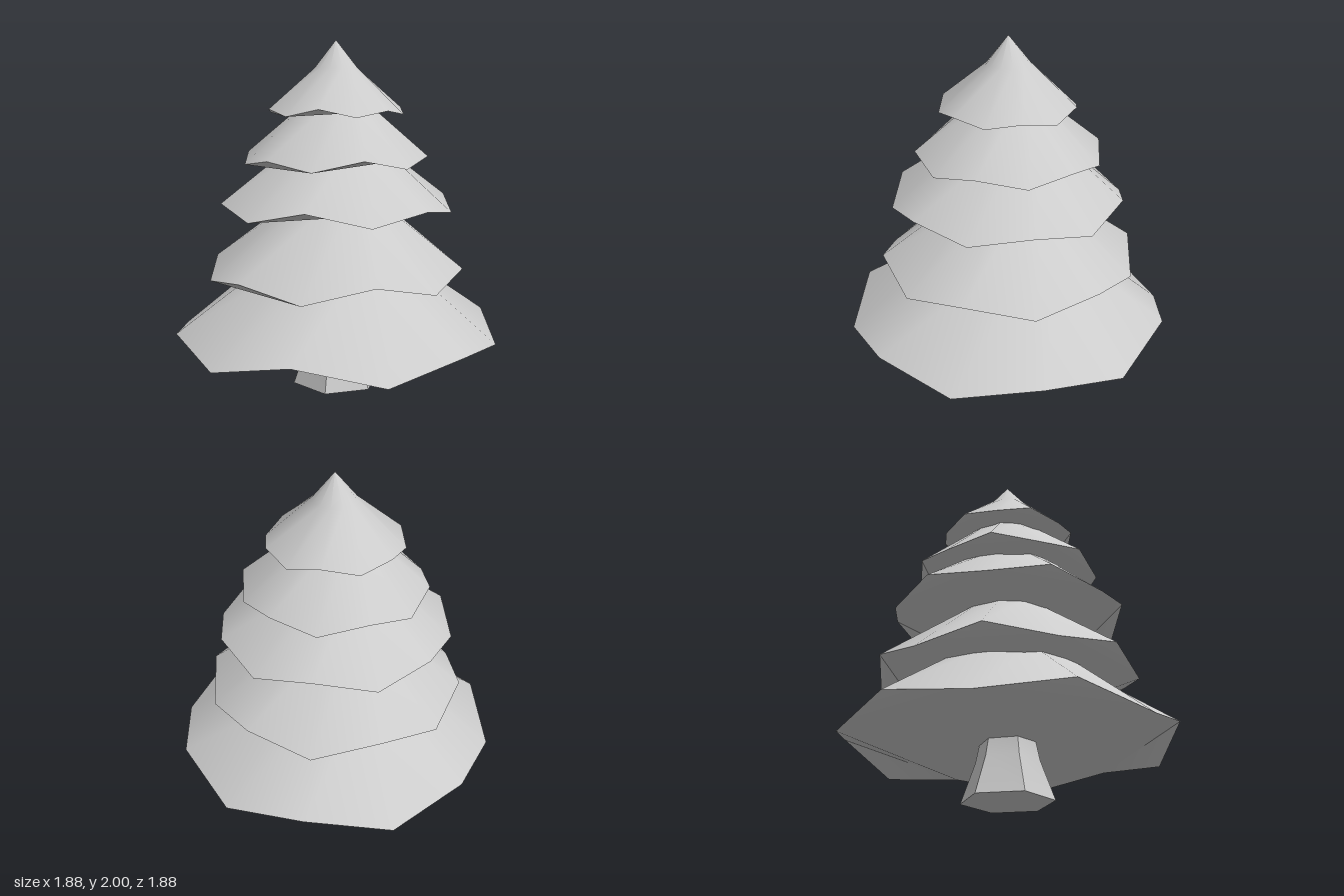
import * as THREE from 'three';
import { toCreasedNormals } from 'three/addons/utils/BufferGeometryUtils.js';

const SIDES = 12;
const CREASE = 0.75;

// Triangles closing the zigzag underside of a tier
const UNDERSIDE = [
  1, 2, 3, 1, 3, 4, 4, 5, 6, 6, 7, 8, 8, 9, 11,
  9, 10, 11, 11, 0, 1, 1, 4, 6, 1, 6, 8, 1, 8, 11,
];

// Tier: zigzag rim, upper ring and apex
function tierGeometry({ radius, low, high, peak, ringRadius, ringY, apexY }) {
  const positions = [];
  const index = [...UNDERSIDE];
  const addRing = (r, heightAt) => {
    for (let k = 0; k < SIDES; k++) {
      const a = (k / SIDES) * Math.PI * 2;
      positions.push(Math.cos(a) * r, heightAt(k), Math.sin(a) * r);
    }
  };
  // even corners droop, odd corners lift, the front and back ones the most
  addRing(radius, (k) => (k % 2 === 0 ? low : k % 6 === 3 ? peak : high));
  addRing(ringRadius, () => ringY);
  positions.push(0, apexY, 0);

  const apex = SIDES * 2;
  for (let k = 0; k < SIDES; k++) {
    const n = (k + 1) % SIDES;
    index.push(k, SIDES + k, n, n, SIDES + k, SIDES + n);
    index.push(SIDES + k, apex, SIDES + n);
  }
  const geometry = new THREE.BufferGeometry();
  geometry.setAttribute('position', new THREE.Float32BufferAttribute(positions, 3));
  geometry.setIndex(index);
  return toCreasedNormals(geometry, CREASE);
}

export function createModel() {
  const model = new THREE.Group();
  model.name = 'pineTree';
  const material = new THREE.MeshStandardMaterial({ color: 0xcccccc });

  // Flared six-sided trunk
  const profile = [[0, 0], [0.26, 0], [0.18, 0.22], [0.155, 0.34], [0.15, 0.45]]
    .map(([x, y]) => new THREE.Vector2(x, y));
  const trunk = new THREE.Mesh(
    toCreasedNormals(new THREE.LatheGeometry(profile, 6), CREASE), material);
  trunk.name = 'trunk';
  model.add(trunk);

  // Foliage tiers from bottom to top, every second one turned by one corner
  const tiers = [
    { radius: 0.94, low: 0.29, high: 0.365, peak: 0.4, ringRadius: 0.4, ringY: 0.745, apexY: 0.95 },
    { radius: 0.74, low: 0.66, high: 0.725, peak: 0.75, ringRadius: 0.27, ringY: 1.08, apexY: 1.25 },
    { radius: 0.67, low: 1.045, high: 1.1, peak: 1.125, ringRadius: 0.26, ringY: 1.41, apexY: 1.55 },
    { radius: 0.53, low: 1.315, high: 1.36, peak: 1.375, ringRadius: 0.19, ringY: 1.645, apexY: 1.77 },
    { radius: 0.39, low: 1.59, high: 1.62, peak: 1.635, ringRadius: 0.125, ringY: 1.845, apexY: 2 },
  ];
  tiers.forEach((tier, i) => {
    const mesh = new THREE.Mesh(tierGeometry(tier), material);
    mesh.name = `foliageTier${i + 1}`;
    mesh.rotation.y = i % 2 ? Math.PI / 6 : 0;
    model.add(mesh);
  });

  return model;
}
